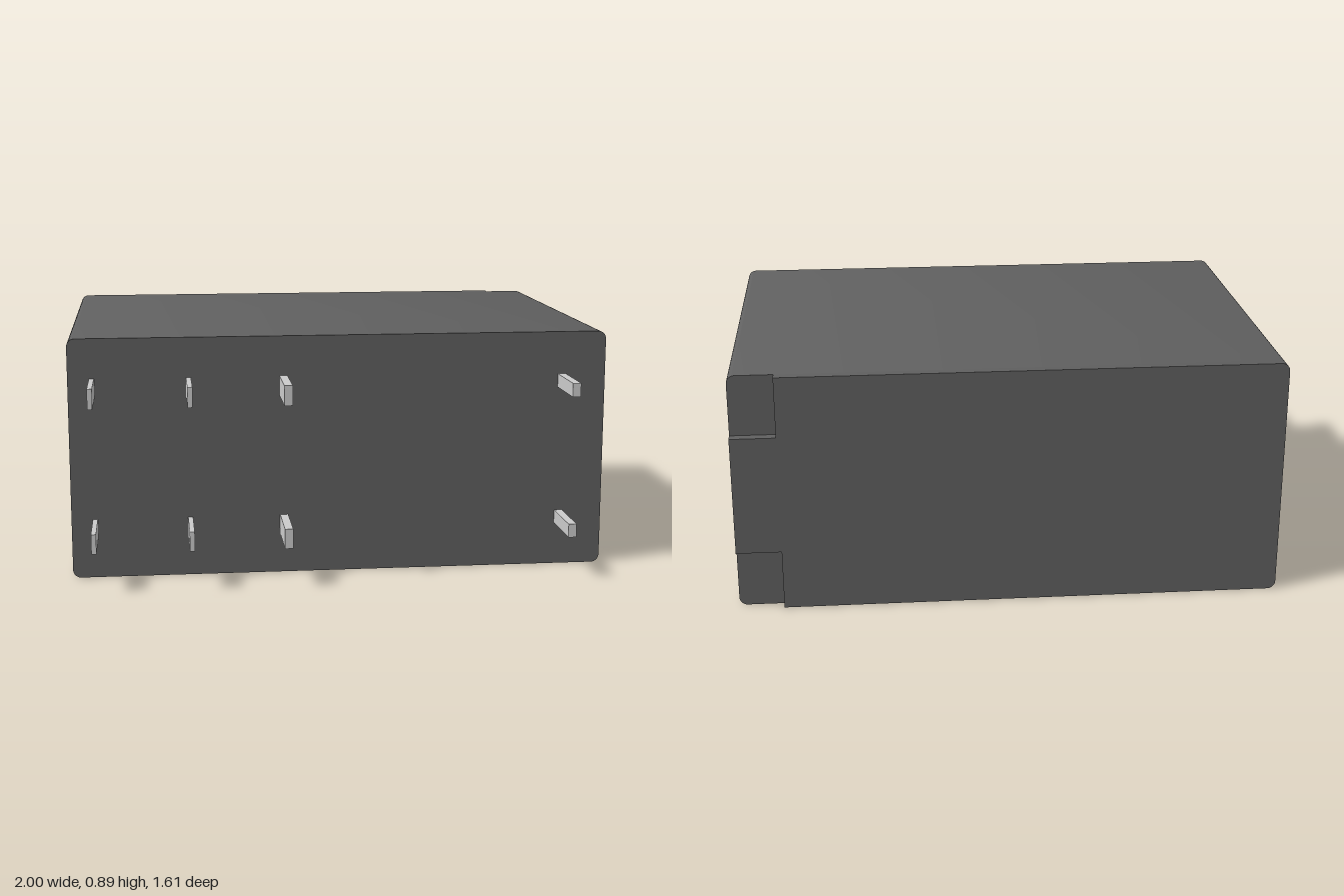
import * as THREE from 'three';
import { toCreasedNormals } from 'three/addons/utils/BufferGeometryUtils.js';

const H = 0.895, R = 0.03;
const FRONT = 0.59, STEP = -0.77, BACK = -0.805, TIP = 0.805;

// Rectangle outline whose vertical sides sit at x0 and x1, with rounded corners
function roundedOutline() {
  const s = new THREE.Shape();
  s.absarc(1 - R, R, R, -Math.PI / 2, 0);
  s.absarc(1 - R, H - R, R, 0, Math.PI / 2);
  s.absarc(-1 + R, H - R, R, Math.PI / 2, Math.PI);
  s.absarc(-1 + R, R, R, Math.PI, Math.PI * 1.5);
  s.closePath();
  return s;
}

// Same outline with both +x corners cut away
function notchedOutline() {
  const nx = 0.835, lo = 0.225, hi = H - lo;
  const s = new THREE.Shape();
  s.moveTo(nx, 0);
  s.lineTo(nx, lo);
  s.lineTo(1, lo);
  s.lineTo(1, hi);
  s.lineTo(nx, hi);
  s.lineTo(nx, H);
  s.absarc(-1 + R, H - R, R, Math.PI / 2, Math.PI);
  s.absarc(-1 + R, R, R, Math.PI, Math.PI * 1.5);
  s.closePath();
  return s;
}

function slab(name, shape, z0, z1, material) {
  const geo = new THREE.ExtrudeGeometry(shape, { depth: z1 - z0, bevelEnabled: false, curveSegments: 8 });
  geo.translate(0, 0, z0);
  const mesh = new THREE.Mesh(toCreasedNormals(geo, 0.6), material);
  mesh.name = name;
  return mesh;
}

export function createModel() {
  const model = new THREE.Group();
  model.name = 'relay';
  const caseMat = new THREE.MeshStandardMaterial({ color: 0x606060 });
  const pinMat = new THREE.MeshStandardMaterial({ color: 0xcccccc });

  // Case: main block plus a thin back layer with two corner notches
  model.add(slab('caseBody', roundedOutline(), STEP, FRONT, caseMat));
  model.add(slab('caseBack', notchedOutline(), BACK, STEP, caseMat));

  // Two mirrored rows of flat pins: [x, width, height]
  const pins = new THREE.Group();
  pins.name = 'pins';
  const columns = [
    [-0.913, 0.018, 0.073],
    [-0.562, 0.018, 0.073],
    [-0.213, 0.03, 0.073],
    [0.835, 0.03, 0.05],
  ];
  for (const [x, w, h] of columns) {
    for (const side of [-1, 1]) {
      const pin = new THREE.Mesh(new THREE.BoxGeometry(w, h, TIP - FRONT), pinMat);
      pin.position.set(x, H / 2 + side * 0.263, (TIP + FRONT) / 2);
      pin.name = 'pin';
      pins.add(pin);
    }
  }
  model.add(pins);
  return model;
}
